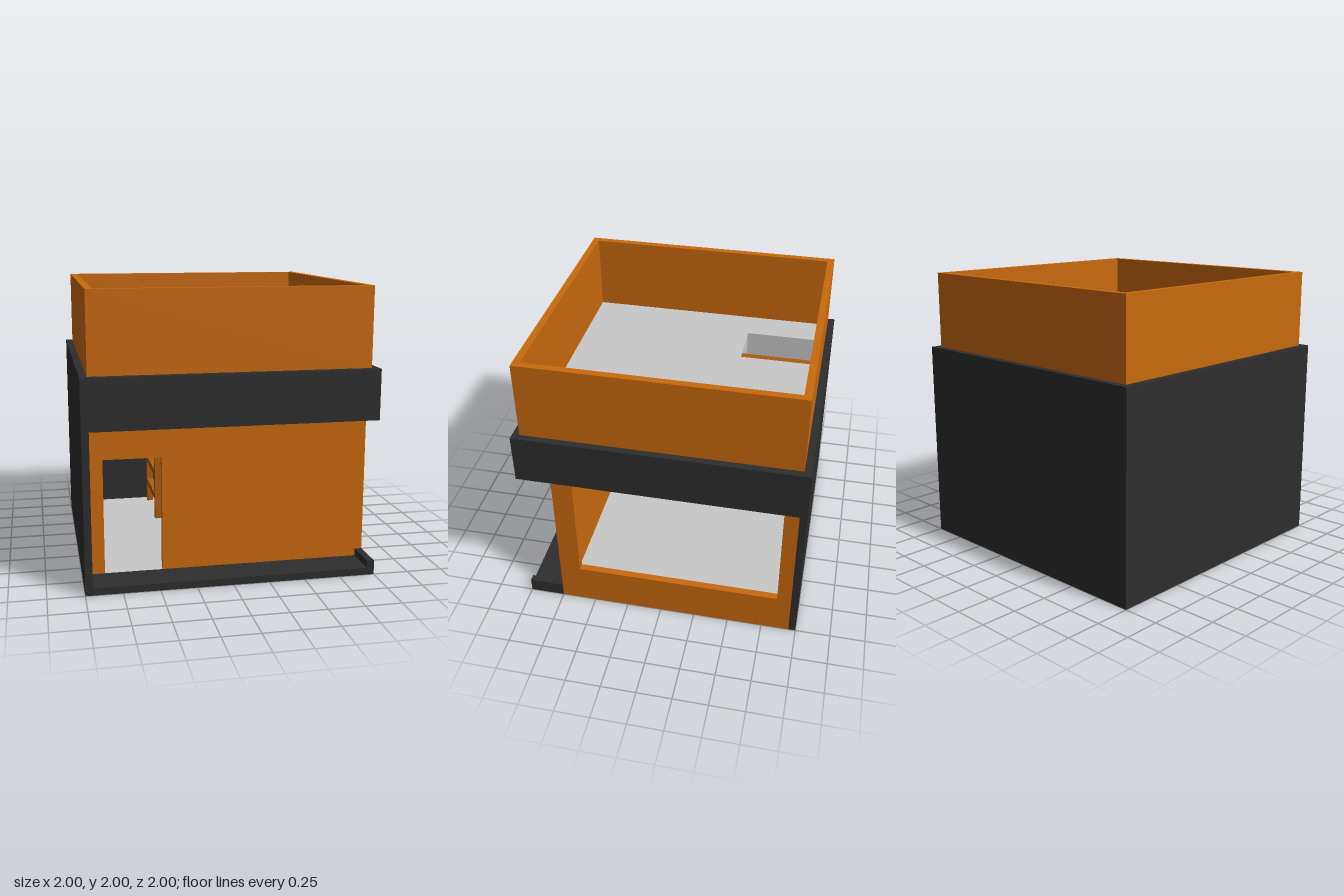
import * as THREE from 'three';

const mat = (name, color) => {
  const m = new THREE.MeshStandardMaterial({ color });
  m.name = name;
  return m;
};

export function createModel() {
  const orange = mat('orange wall', 0xc8690c);
  const rust = mat('dark orange wood', 0xab5c0e);
  const dark = mat('charcoal shell', 0x2d2d2d);
  const grey = mat('light grey concrete', 0xc8c8c8);
  const house = new THREE.Group();
  house.name = 'house';

  const add = (name, geometry, material) => {
    const mesh = new THREE.Mesh(geometry, material);
    mesh.name = name;
    house.add(mesh);
    return mesh;
  };
  // Box given by its lower and upper limits on each axis
  const box = (name, material, x0, x1, y0, y1, z0, z1) =>
    add(name, new THREE.BoxGeometry(x1 - x0, y1 - y0, z1 - z0)
      .translate((x0 + x1) / 2, (y0 + y1) / 2, (z0 + z1) / 2), material);
  const outline = (points) => new THREE.Shape(points.map(([a, b]) => new THREE.Vector2(a, b)));
  const rect = (a0, a1, b0, b1) => outline([[a0, b0], [a1, b0], [a1, b1], [a0, b1]]);
  const extrude = (shape, depth) => new THREE.ExtrudeGeometry(shape, { depth, bevelEnabled: false });
  // Plan shapes use (x, -z) and rise along y
  const plan = (shape, y0, y1) => extrude(shape, y1 - y0).rotateX(-Math.PI / 2).translate(0, y0, 0);

  // Charcoal shell: closed left and back, open front and right under a band
  box('sideShellWall', dark, -1, -0.95, 0, 1.45, -1, 1);
  box('backShellWall', dark, -0.95, 1, 0, 1.45, -1, -0.95);
  box('frontBand', dark, -0.95, 1, 1.1, 1.45, 0.95, 1);
  box('sideBand', dark, 0.95, 1, 1.1, 1.45, -0.95, 0.95);
  box('porchSoffit', dark, -0.95, 0.95, 1.1, 1.15, 0.75, 0.95);
  box('porchFloor', dark, -0.95, 0.95, 0, 0.05, 0.75, 1);
  box('porchCurb', dark, 0.95, 1, 0, 0.1, 0.75, 1);

  // Ground floor
  box('groundFloor', grey, -0.95, 0.95, 0, 0.05, -0.95, 0.75);
  box('ceilingBeam', grey, -0.95, 0.95, 1.1, 1.15, 0.7, 0.75);

  // Front wall with a doorway
  add('frontWall', extrude(outline([
    [-0.95, 0.05], [-0.85, 0.05], [-0.85, 0.85], [-0.45, 0.85],
    [-0.45, 0.05], [0.95, 0.05], [0.95, 1.1], [-0.95, 1.1],
  ]), 0.05).translate(0, 0, 0.7), orange);

  // Side wall with a wide window open to the band, drawn in (-z, y)
  add('windowWall', extrude(outline([
    [-0.75, 0], [0.95, 0], [0.95, 1.1], [0.85, 1.1],
    [0.85, 0.3], [-0.6, 0.3], [-0.6, 1.1], [-0.75, 1.1],
  ]), 0.05).rotateY(Math.PI / 2).translate(0.95, 0, 0), orange);

  // Upper floor with a ladder opening at the back
  add('upperFloor', plan(outline([
    [-0.95, -0.95], [0.95, -0.95], [0.95, 0.95], [-0.3, 0.95],
    [-0.3, 0.35], [-0.65, 0.35], [-0.65, 0.95], [-0.95, 0.95],
  ]), 1.15, 1.45), grey);

  // Parapet
  const ring = rect(-0.95, 0.95, -0.95, 0.95);
  ring.holes.push(rect(-0.9, 0.9, -0.9, 0.9));
  add('parapet', plan(ring, 1.45, 2), orange);

  // Ladder
  for (const z of [-0.9, -0.4]) box('ladderPost', rust, -0.35, -0.3, 0.05, 1.45, z, z + 0.05);
  for (let i = 0; i < 7; i++) {
    const y = 0.2 + i * 0.2;
    box('ladderRung', rust, -0.35, -0.3, y, y + 0.05, -0.85, -0.4);
  }

  // Steps rising to a landing
  const steps = [[0.9, 1.45], [0.9, 1.7]];
  for (let i = 4; i >= 0; i--) {
    const x = -0.15 + i * 0.15;
    steps.push([x, 1.5 + i * 0.05], [x, 1.45 + i * 0.05]);
  }
  add('upperSteps', extrude(outline(steps), 0.55).translate(0, 0, -0.9), grey);

  return house;
}
